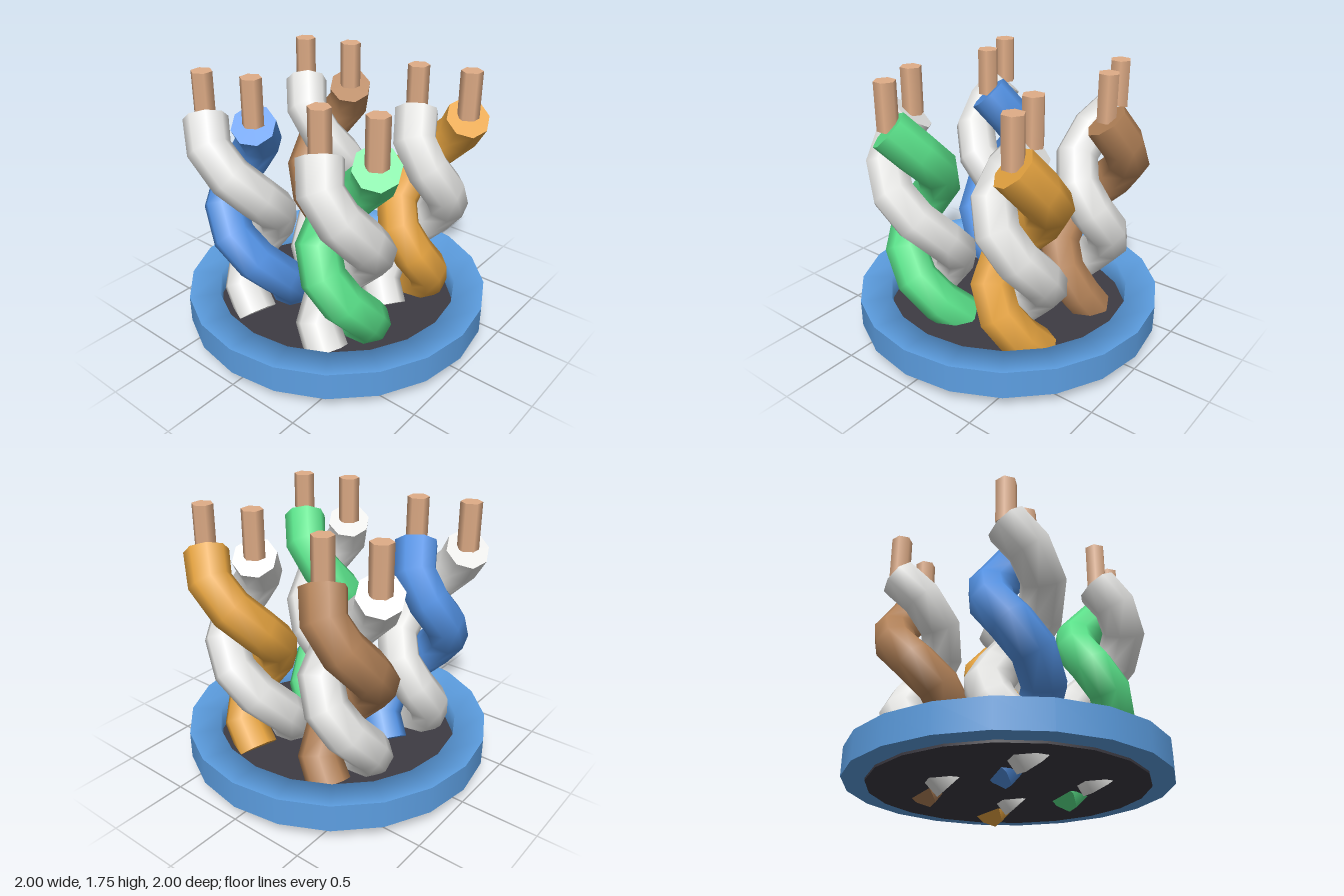
import * as THREE from 'three';

const mat = (name, color) => Object.assign(new THREE.MeshStandardMaterial({ color }), { name });

const TURN = Math.PI * 2 * 1.2; // twist from bottom to top
const Y0 = 0.1, Y1 = 1.45, STEPS = 9, SIDES = 8;
const HELIX_R = 0.164, WIRE_R = 0.14;

// Helix around an axis that leans outward as it rises
class WirePath extends THREE.Curve {
  constructor(sx, sz, phase) {
    super();
    Object.assign(this, { sx, sz, phase });
  }
  getPoint(t, target = new THREE.Vector3()) {
    const y = Y0 + (Y1 - Y0) * t;
    const a = this.phase + TURN * t;
    const lean = 0.3 + 0.113 * y;
    return target.set(
      this.sx * lean + HELIX_R * Math.cos(a), y,
      this.sz * lean + HELIX_R * Math.sin(a));
  }
  getPointAt(u, target) { return this.getPoint(u, target); }
  // Tangents follow the straight segments, so the end cuts are square to them
  getTangentAt(u, target = new THREE.Vector3()) {
    const d = 1 / STEPS;
    return target.copy(this.getPoint(Math.min(1, u + d)))
      .sub(this.getPoint(Math.max(0, u - d))).normalize();
  }
}

// Flat cap on one end ring of a tube
function endCap(tube, path, end) {
  const pos = tube.attributes.position;
  const start = end * STEPS * (SIDES + 1);
  const centre = path.getPoint(end);
  const outward = path.getTangentAt(end).multiplyScalar(end ? 1 : -1);
  const pts = [];
  for (let i = 0; i < SIDES; i++) {
    let a = new THREE.Vector3().fromBufferAttribute(pos, start + i);
    let b = new THREE.Vector3().fromBufferAttribute(pos, start + i + 1);
    const n = a.clone().sub(centre).cross(b.clone().sub(centre));
    if (n.dot(outward) < 0) [a, b] = [b, a];
    pts.push(centre, a, b);
  }
  const geo = new THREE.BufferGeometry().setFromPoints(pts);
  geo.computeVertexNormals();
  return geo;
}

function buildWire(name, material, copper, sx, sz, phase) {
  const wire = new THREE.Group();
  wire.name = name;
  const add = (part, geo, m) => {
    const mesh = new THREE.Mesh(geo, m);
    mesh.name = part;
    wire.add(mesh);
    return mesh;
  };
  const path = new WirePath(sx, sz, phase);
  const tube = new THREE.TubeGeometry(path, STEPS, WIRE_R, SIDES, false);
  add('insulation', tube, material);
  add('lowerCut', endCap(tube, path, 0), material);
  add('upperCut', endCap(tube, path, 1), material);

  // Bare conductor standing out of the top cut
  const core = add('conductor', new THREE.CylinderGeometry(0.068, 0.068, 0.3, 6), copper);
  core.position.copy(path.getPoint(1));
  core.position.y += 0.15;
  core.rotation.y = Math.PI / 2;
  return wire;
}

export function createModel() {
  const model = new THREE.Group();
  model.name = 'twistedPairCable';
  const jacketBlue = mat('jacketBlue', 0x5d9fe2);
  const dark = mat('darkFiller', 0x3d3b43);
  const copper = mat('copper', 0xe0ad87);
  const white = mat('whiteInsulation', 0xe6e6e4);
  const green = mat('greenInsulation', 0x5ae28a);
  const orange = mat('orangeInsulation', 0xe5a340);
  const blue = mat('blueInsulation', 0x5392e4);
  const brown = mat('brownInsulation', 0xb38258);

  // Outer jacket: sharp outside edges, softened inner rim
  const jacket = new THREE.Group();
  jacket.name = 'jacket';
  const profiles = {
    jacketBottom: [[0.8, 0.1], [1, 0.1]],
    jacketWall: [[1, 0.1], [1, 0.28]],
    jacketRim: [[1, 0.28], [0.8, 0.28], [0.8, 0.1]],
  };
  for (const [name, points] of Object.entries(profiles)) {
    const geo = new THREE.LatheGeometry(points.map(p => new THREE.Vector2(...p)), 20);
    const mesh = new THREE.Mesh(geo, jacketBlue);
    mesh.name = name;
    jacket.add(mesh);
  }
  model.add(jacket);

  // Dark disc closing the jacket; the upper step fills the opening
  for (const [name, r, y0, y1] of [['baseDisc', 0.86, 0.085, 0.1], ['innerFloor', 0.8, 0.09, 0.115]]) {
    const disc = new THREE.Mesh(new THREE.CylinderGeometry(r, r, y1 - y0, 20), dark);
    disc.name = name;
    disc.position.y = (y0 + y1) / 2;
    model.add(disc);
  }

  // Four pairs, each a coloured wire and a white wire half a turn apart
  const pairs = [
    ['green', green, -1, 1], ['orange', orange, 1, 1],
    ['blue', blue, -1, -1], ['brown', brown, 1, -1],
  ];
  for (const [name, material, sx, sz] of pairs) {
    const pair = new THREE.Group();
    pair.name = name + 'Pair';
    pair.add(buildWire(name + 'Wire', material, copper, sx, sz, 0));
    pair.add(buildWire('whiteWire', white, copper, sx, sz, Math.PI));
    model.add(pair);
  }
  return model;
}
